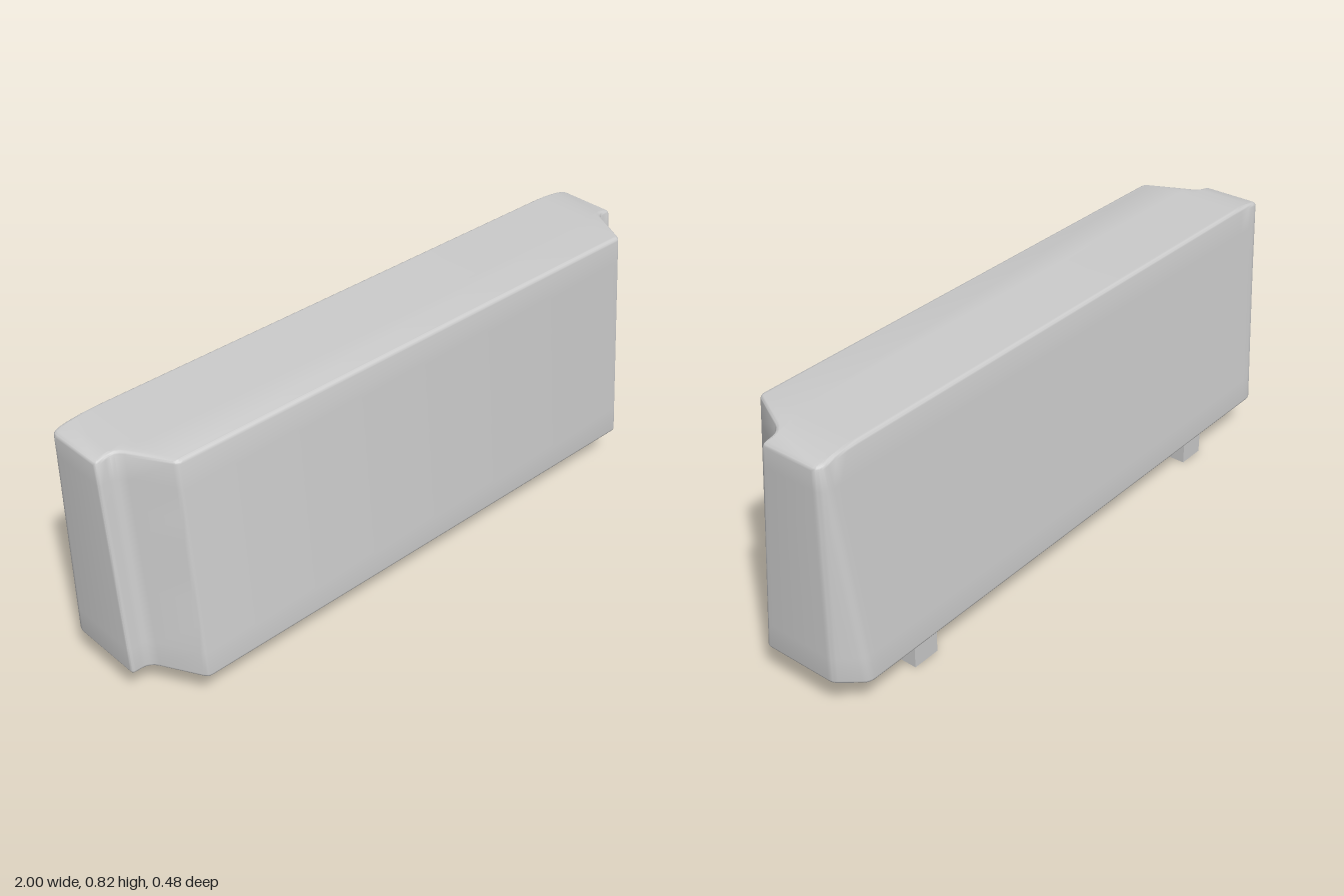
import * as THREE from 'three';
import { toCreasedNormals } from 'three/addons/utils/BufferGeometryUtils.js';

const lerp = THREE.MathUtils.lerp;
const Y0 = 0.12, Y1 = 0.82, BEVEL = 0.011;

// Rounds the inner corners of a polyline; each corner is [x, z, radius]
function roundCorners(corners, steps = 4) {
  const pts = [];
  corners.forEach(([x, z, r], i) => {
    const p = new THREE.Vector2(x, z);
    const prev = corners[i - 1], next = corners[i + 1];
    if (!r) { pts.push(p); return; }
    const a = new THREE.Vector2(...(prev || [0, z])), b = new THREE.Vector2(...(next || [0, z]));
    const toward = (q) => p.clone().lerp(q, Math.min(r / p.distanceTo(q), 0.45));
    const curve = new THREE.QuadraticBezierCurve(toward(a), p, toward(b));
    pts.push(...curve.getPoints(steps));
  });
  return pts;
}

// Half plan outline (+x side, front to back) at height t, 0 bottom to 1 top
function halfOutline(t) {
  const front = lerp(0.238, 0.181, t), step = lerp(0.085, 0.024, t);
  const back = lerp(-0.24, -0.173, t), cx = lerp(0.935, 0.985, t);
  return roundCorners([
    [0.857, front, 0.015],
    [0.942, step, 0.03],
    [1, step, 0.012],
    [1, -0.163, 0.015],
    [cx, back, 0.02],
    [cx - 0.045, back, 0],
    [cx - 0.085, back, 0],
    [cx - 0.125, back, 0],
  ]);
}

// Full closed outline, moved inwards by the given inset
function outline(t, inset) {
  const half = halfOutline(t);
  const all = [...half, ...half.map((p) => new THREE.Vector2(-p.x, p.y)).reverse()];
  const n = all.length;
  return all.map((p, i) => {
    const d = all[(i + 1) % n].clone().sub(p).normalize()
      .add(p.clone().sub(all[(i + n - 1) % n]).normalize()).normalize();
    return new THREE.Vector2(p.x + d.y * inset, p.y - d.x * inset);
  });
}

// The top droops gently towards both ends
const droop = (x) => 0.017 * Math.max(0, (Math.abs(x) - 0.86) / 0.14) ** 2;

function bodyGeometry() {
  // Rows: rounded bottom edge, sloping walls, rounded top edge
  const rows = [];
  for (let k = 0; k <= 4; k++) {
    const a = (k / 4) * Math.PI / 2;
    rows.push({ y: Y0 + BEVEL * (1 - Math.cos(a)), inset: BEVEL * (1 - Math.sin(a)), top: 0 });
  }
  for (let k = 1; k < 8; k++) rows.push({ y: lerp(Y0, Y1, k / 8), inset: 0, top: 0 });
  for (let k = 0; k <= 4; k++) {
    const a = (k / 4) * Math.PI / 2;
    rows.push({ y: Y1 - BEVEL * (1 - Math.sin(a)), inset: BEVEL * (1 - Math.cos(a)), top: 1 });
  }
  const loops = rows.map(({ y, inset, top }) =>
    outline((y - Y0) / (Y1 - Y0), inset).map((p) => [p.x, y - top * droop(p.x), p.y]));

  const pos = [];
  const quad = (a, b, c, d) => pos.push(...a, ...b, ...c, ...a, ...c, ...d);
  const n = loops[0].length;
  for (let r = 0; r < loops.length - 1; r++) {
    for (let i = 0; i < n; i++) {
      const j = (i + 1) % n;
      quad(loops[r][i], loops[r][j], loops[r + 1][j], loops[r + 1][i]);
    }
  }

  // Caps: strips across the width, from front to back
  const cols = [-1, -0.95, -0.9, -0.86, 0.86, 0.9, 0.95, 1];
  const cap = (loop, y, top) => {
    const strip = loop.slice(0, n / 2).map(([w, , z]) => cols.map((c) => {
      const x = Math.sign(c) * Math.min(Math.abs(c), w);
      return [x, y - top * droop(x), z];
    }));
    for (let i = 0; i < strip.length - 1; i++) {
      if (Math.abs(strip[i][0][2] - strip[i + 1][0][2]) < 1e-6) continue;
      for (let j = 0; j < cols.length - 1; j++) {
        const a = strip[i][j], b = strip[i][j + 1], c = strip[i + 1][j + 1], d = strip[i + 1][j];
        if (top) quad(a, b, c, d); else quad(d, c, b, a);
      }
    }
  };
  cap(loops[loops.length - 1], Y1, 1);
  cap(loops[0], Y0, 0);

  const g = new THREE.BufferGeometry();
  g.setAttribute('position', new THREE.Float32BufferAttribute(pos, 3));
  return toCreasedNormals(g, 0.6);
}

// Square sleeve, open at the bottom
function pegGeometry() {
  const w = 0.046, d = 0.108;
  const shape = new THREE.Shape([[-w, -d], [w, -d], [w, d], [-w, d]].map((p) => new THREE.Vector2(...p)));
  const pts = shape.getPoints();
  const pos = [];
  for (let i = 0; i < 4; i++) {
    const a = pts[i], b = pts[(i + 1) % 4];
    pos.push(a.x, 0, a.y, b.x, 0.125, b.y, b.x, 0, b.y, a.x, 0, a.y, a.x, 0.125, a.y, b.x, 0.125, b.y);
  }
  const g = new THREE.BufferGeometry();
  g.setAttribute('position', new THREE.Float32BufferAttribute(pos, 3));
  g.computeVertexNormals();
  return g;
}

export function createModel() {
  const group = new THREE.Group();
  group.name = 'paddedBackrest';

  const body = new THREE.Mesh(bodyGeometry(), new THREE.MeshStandardMaterial({ color: 0xcccccc }));
  body.name = 'cushionBody';
  group.add(body);

  // Two mounting pegs underneath
  const pegMaterial = new THREE.MeshStandardMaterial({ color: 0xcccccc, side: THREE.DoubleSide });
  const peg = pegGeometry();
  for (const side of [1, -1]) {
    const mesh = new THREE.Mesh(peg, pegMaterial);
    mesh.name = side > 0 ? 'leftMountingPeg' : 'rightMountingPeg';
    mesh.position.set(side * 0.664, 0, -0.082);
    group.add(mesh);
  }
  return group;
}
